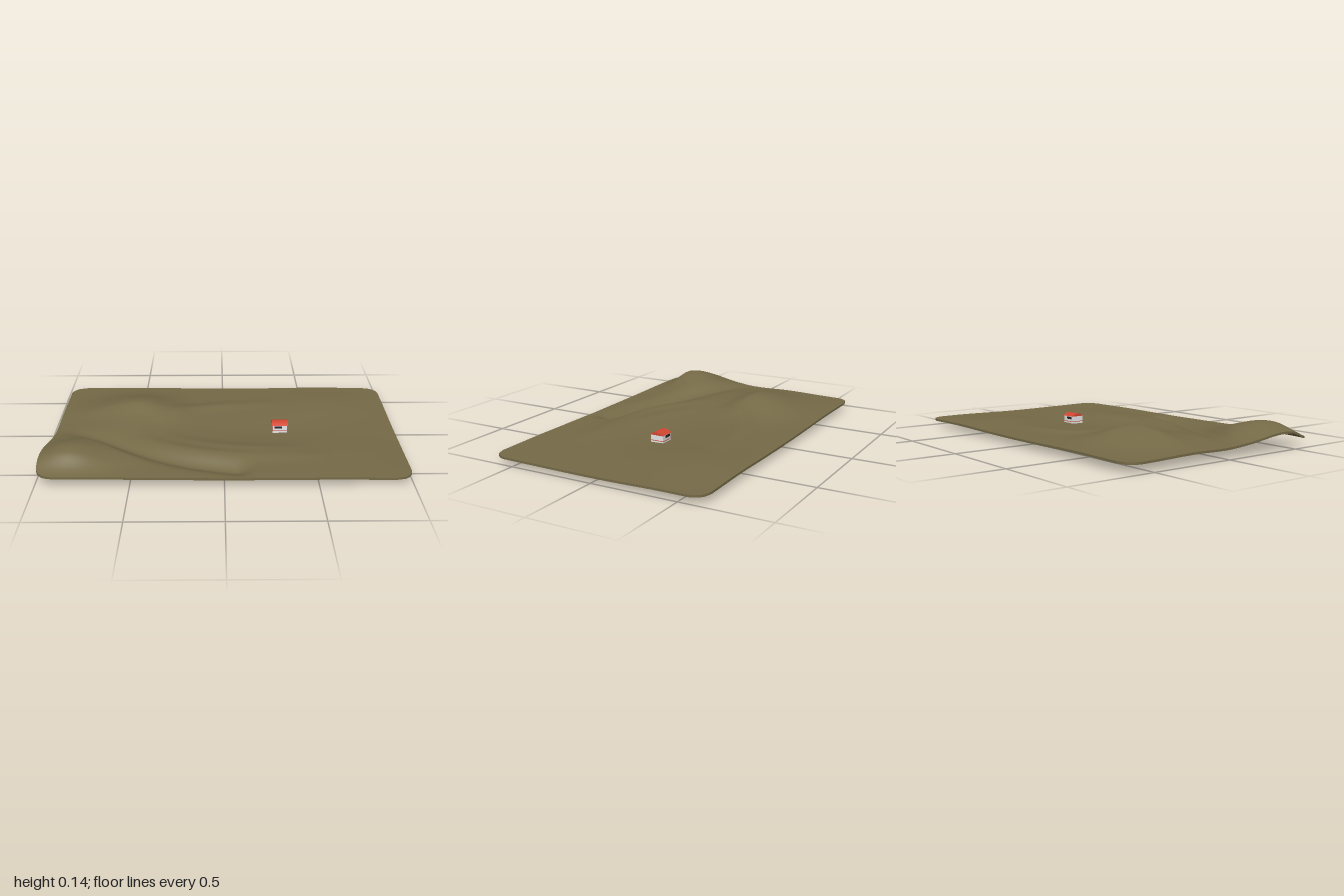
import * as THREE from 'three';

const HX = 0.985, HZ = 0.634, CORNER = 0.09, THICK = 0.012;
const mat = (name, color) => new THREE.MeshStandardMaterial({ name, color });
const smooth = (a, b, v) => THREE.MathUtils.smoothstep(v, a, b);

// Mound with a different spread on each side: left, right, back, front
function mound(x, z, cx, cz, amp, left, right, back, front) {
  const dx = (x - cx) / (x < cx ? left : right);
  const dz = (z - cz) / (z < cz ? back : front);
  return amp * Math.exp(-0.5 * (dx * dx + dz * dz));
}

// Soft fold that follows a polyline and fades out at both ends
function fold(x, z, pts, amp, width) {
  let best = 1e9, along = 0;
  for (let i = 0; i < pts.length - 1; i++) {
    const [ax, az] = pts[i], [bx, bz] = pts[i + 1];
    const ex = bx - ax, ez = bz - az;
    const t = THREE.MathUtils.clamp(((x - ax) * ex + (z - az) * ez) / (ex * ex + ez * ez), 0, 1);
    const d = Math.hypot(x - ax - t * ex, z - az - t * ez);
    if (d < best) { best = d; along = (i + t) / (pts.length - 1); }
  }
  return amp * Math.sin(Math.PI * along) * Math.exp(-0.5 * (best / width) ** 2);
}

const curve = pts => new THREE.SplineCurve(pts.map(p => new THREE.Vector2(...p))).getPoints(14).map(p => [p.x, p.y]);
const backRidge = curve([[-0.4, -0.02], [-0.3, -0.12], [-0.2, -0.24], [0.02, -0.33], [0.38, -0.37]]);
const frontRidge = curve([[-0.5, 0.14], [-0.25, 0.29], [0.05, 0.37], [0.6, 0.36]]);
const innerRidge = curve([[-0.35, 0.12], [-0.05, 0.24], [0.2, 0.28], [0.5, 0.27]]);

// Height of the upper surface
function height(x, z) {
  let y = 0.049 - 0.006 * smooth(0.5, 1, x) + 0.003 * Math.sin(3.1 * x + 1) * Math.cos(4 * z);
  // Back hill with a gentle shoulder towards the front
  y += mound(x, z, -0.5, -0.2, 0.092, 0.23, 0.16, 0.17, 0.1);
  y += mound(x, z, -0.62, 0.03, 0.034, 0.2, 0.22, 0.1, 0.12);
  y += mound(x, z, 0.62, -0.38, 0.016, 0.2, 0.22, 0.15, 0.15);
  y += fold(x, z, backRidge, 0.018, 0.045);
  y += fold(x, z, frontRidge, 0.021, 0.045);
  y += fold(x, z, innerRidge, 0.015, 0.04);
  // Hollow around the house
  y -= mound(x, z, 0.25, 0.03, 0.018, 0.35, 0.25, 0.14, 0.12);
  // Curved diagonal crease dividing off the raised front corner
  const t = x + 0.95;
  const d = (z - 0.04 - 0.723 * t + 0.256 * t * t) * 0.87;
  const corner = mound(x, z, -0.86, 0.48, 0.062, 0.13, 0.13, 0.15, 0.055)
    + mound(x, z, -0.74, 0.36, 0.048, 0.2, 0.2, 0.16, 0.12);
  y += corner * smooth(-0.06, 0.1, d);
  const depth = 0.036 * smooth(-1, -0.1, x) * (1 - smooth(0.06, 0.18, x));
  return y - depth * Math.exp(-0.5 * (d / 0.04) ** 2);
}

// Thin draped sheet with rounded corners
function sheetGeometry() {
  const g = new THREE.BoxGeometry(2, 1, 2, 150, 1, 104);
  const p = g.attributes.position;
  let low = Infinity;
  for (let i = 0; i < p.count; i++) {
    const z = p.getZ(i) * HZ;
    const over = Math.min(CORNER, Math.max(0, Math.abs(z) - (HZ - CORNER)));
    const half = HX - CORNER + Math.sqrt(CORNER * CORNER - over * over);
    let x = p.getX(i) * half + 0.015;
    if (x < 0) x -= 0.03 * smooth(0.05, 0.52, z) * smooth(0.7, 1, -x);
    const y = height(x, z) - (p.getY(i) < 0 ? THICK : 0);
    low = Math.min(low, y);
    p.setXYZ(i, x, y, z);
  }
  g.translate(0, -low, 0);
  g.computeVertexNormals();
  return g;
}

export function createModel() {
  const group = new THREE.Group();
  const ground = mat('olive ground', 0x756a47);
  const red = mat('roof red', 0xd24632);
  const white = mat('wall white', 0xe6e6e6);
  const dark = mat('window dark', 0x25252a);

  const add = (parent, name, geometry, material, x = 0, y = 0, z = 0) => {
    const m = new THREE.Mesh(geometry, material);
    m.name = name;
    m.position.set(x, y, z);
    parent.add(m);
  };
  const box = (parent, name, w, h, d, material, x, y, z) =>
    add(parent, name, new THREE.BoxGeometry(w, h, d), material, x, y, z);

  add(group, 'terrainSheet', sheetGeometry(), ground);

  // Small house
  const house = new THREE.Group();
  house.name = 'house';
  house.position.set(0.33, 0, -0.002);
  group.add(house);
  box(house, 'plinth', 0.084, 0.018, 0.08, white, 0, 0.037, 0);
  box(house, 'redBand', 0.086, 0.003, 0.082, red, 0, 0.047, 0);
  box(house, 'walls', 0.082, 0.033, 0.078, white, 0, 0.064, 0);

  // One wide window on the front and back walls
  for (const s of [-1, 1]) box(house, 'window', 0.045, 0.014, 0.002, dark, -0.01, 0.068, s * 0.0392);

  // Low arched roof, running side to side
  const profile = new THREE.Shape();
  profile.moveTo(-0.043, 0.079);
  profile.lineTo(0.043, 0.079);
  profile.quadraticCurveTo(0, 0.112, -0.043, 0.079);
  const roof = new THREE.ExtrudeGeometry(profile, { depth: 0.092, bevelEnabled: false, curveSegments: 6 });
  roof.translate(0, 0, -0.046);
  roof.rotateY(Math.PI / 2);
  add(house, 'roof', roof, red);

  return group;
}
